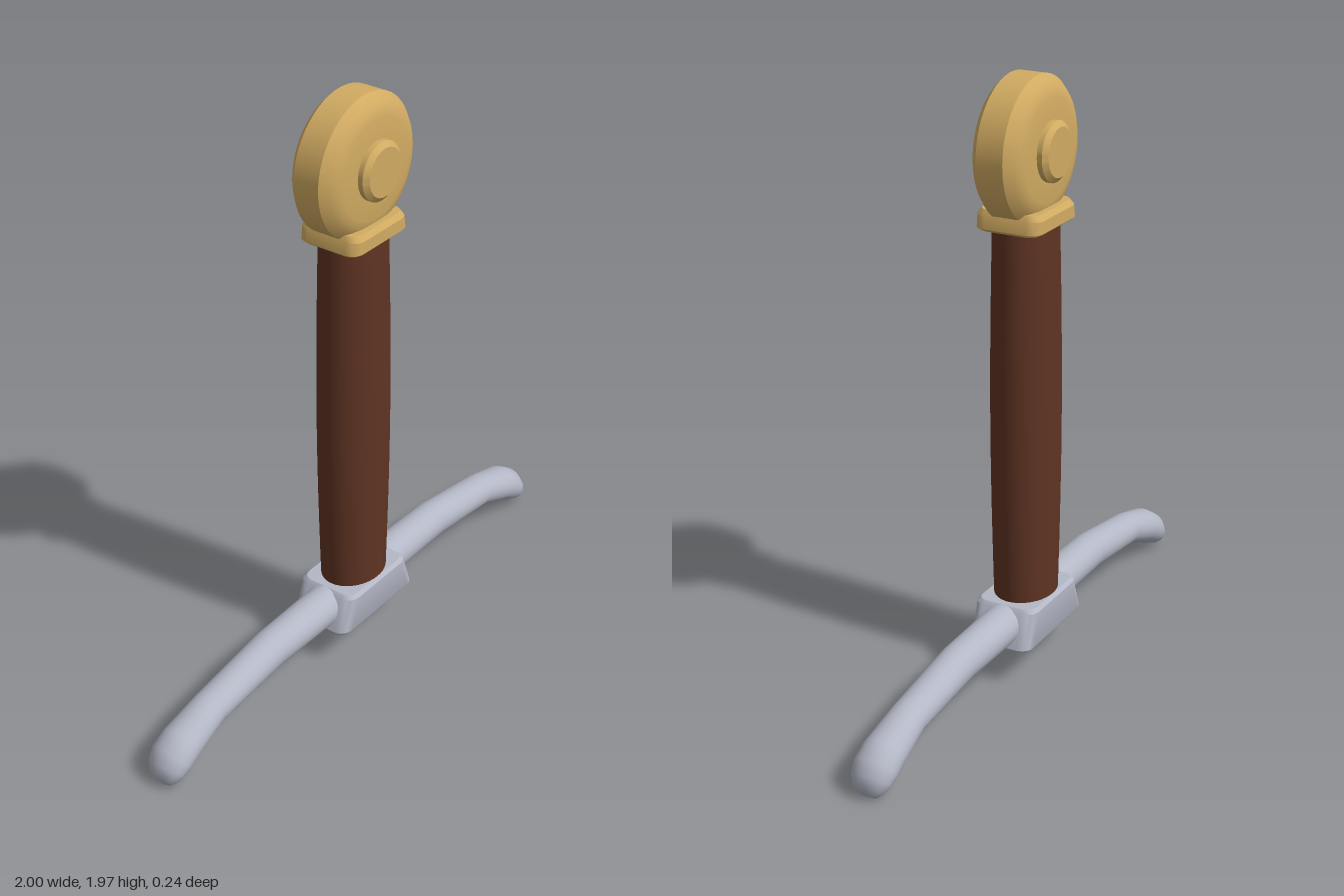
import * as THREE from 'three';
import { toCreasedNormals } from 'three/addons/utils/BufferGeometryUtils.js';

const gold = new THREE.MeshStandardMaterial({ name: 'gold', color: 0xd1ab62 });
const leather = new THREE.MeshStandardMaterial({ name: 'leather', color: 0x5f3423 });
const steel = new THREE.MeshStandardMaterial({ name: 'steel', color: 0xb4b8c6 });

// Skin a list of equal-sized closed rings and cap both ends.
function loft(rings, crease) {
  const n = rings[0].length, pos = [], idx = [];
  rings.forEach(r => r.forEach(p => pos.push(p.x, p.y, p.z)));
  for (let i = 0; i < rings.length - 1; i++) {
    for (let j = 0; j < n; j++) {
      const k = (j + 1) % n, a = i * n + j, b = i * n + k;
      idx.push(a, b, a + n, b, b + n, a + n);
    }
  }
  const last = (rings.length - 1) * n;
  [[0, rings[0]], [last, rings[rings.length - 1]]].forEach(([base, ring], end) => {
    const c = ring.reduce((s, p) => s.add(p), new THREE.Vector3()).divideScalar(n);
    const ci = pos.length / 3;
    pos.push(c.x, c.y, c.z);
    for (let j = 0; j < n; j++) {
      const k = (j + 1) % n;
      if (end) idx.push(ci, base + j, base + k);
      else idx.push(ci, base + k, base + j);
    }
  });
  const g = new THREE.BufferGeometry();
  g.setAttribute('position', new THREE.Float32BufferAttribute(pos, 3));
  g.setIndex(idx);
  return toCreasedNormals(g, crease);
}

// Horizontal rounded rectangle with half sizes hx, hz and corner radius r.
function roundedRing([y, hx, hz, r]) {
  const pts = [], steps = 5;
  for (let q = 0; q < 4; q++) {
    const sx = q === 0 || q === 3 ? 1 : -1, sv = q < 2 ? 1 : -1;
    for (let s = 0; s <= steps; s++) {
      const t = (q + s / steps) * Math.PI / 2;
      pts.push(new THREE.Vector3(sx * (hx - r) + r * Math.cos(t), y, -sv * (hz - r) - r * Math.sin(t)));
    }
  }
  return pts;
}

// Ellipse spanned by two axes around a centre.
function ellipseRing(center, u, v, n) {
  return Array.from({ length: n }, (_, j) => {
    const t = j / n * Math.PI * 2;
    return center.clone().addScaledVector(u, Math.cos(t)).addScaledVector(v, Math.sin(t));
  });
}

export function createModel() {
  const model = new THREE.Group();
  model.name = 'swordHilt';
  const add = (name, geometry, material) => {
    const mesh = new THREE.Mesh(geometry, material);
    mesh.name = name;
    model.add(mesh);
    return mesh;
  };

  // Wheel pommel with a boss on both faces: radius and depth of the half profile
  const half = [[0.23, 0.045], [0.207, 0.068], [0.185, 0.08], [0.16, 0.085], [0.095, 0.087],
    [0.095, 0.104], [0.078, 0.118], [0, 0.118]];
  const profile = [...half.map(([r, z]) => new THREE.Vector2(r, -z)).reverse(),
    ...half.map(([r, z]) => new THREE.Vector2(r, z))];
  const wheel = new THREE.LatheGeometry(profile, 64).rotateX(Math.PI / 2);
  add('pommel', toCreasedNormals(wheel, 0.6), gold).position.y = 1.743;

  // Collar under the pommel
  add('collar', loft([
    [1.503, 0.13, 0.1, 0.035], [1.512, 0.14, 0.112, 0.04],
    [1.552, 0.134, 0.112, 0.04], [1.57, 0.124, 0.1, 0.035],
  ].map(roundedRing), 0.5), gold);

  // Oval grip, slightly swollen at the middle
  const grip = [];
  for (let i = 0; i <= 12; i++) {
    const t = i / 12, swell = Math.sin(Math.PI * t);
    grip.push(ellipseRing(new THREE.Vector3(0, 0.24 + 1.27 * t, 0),
      new THREE.Vector3(0.123 + 0.012 * swell, 0, 0),
      new THREE.Vector3(0, 0, -0.099 - 0.008 * swell), 40));
  }
  add('grip', loft(grip, 0.6), leather);

  // Tapered guard block
  add('guardBlock', loft([
    [0.124, 0.195, 0.105, 0.035], [0.132, 0.199, 0.11, 0.04],
    [0.245, 0.16, 0.11, 0.04], [0.257, 0.148, 0.1, 0.035],
  ].map(roundedRing), 0.6), steel);
  add('bladeSeat', new THREE.BoxGeometry(0.09, 0.02, 0.06), steel).position.y = 0.129;

  // Curved guard arms: x, y, tilt of the section, radius in the curve plane, radius in z
  const stations = [
    [0, 0.193, 0, 0.064, 0.07], [0.22, 0.193, 0, 0.064, 0.067], [0.45, 0.191, 0.07, 0.063, 0.063],
    [0.75, 0.152, 0.22, 0.055, 0.06], [0.885, 0.107, 0.42, 0.062, 0.07], [0.932, 0.08, 0.62, 0.06, 0.072],
    [0.957, 0.055, 0.85, 0.049, 0.066], [0.972, 0.032, 1.05, 0.034, 0.052], [0.974, 0.01, 1.2, 0.014, 0.03],
  ];
  const arm = loft(stations.map(([x, y, tilt, r, rz]) => ellipseRing(
    new THREE.Vector3(x, y, 0),
    new THREE.Vector3(Math.sin(tilt) * r, Math.cos(tilt) * r, 0),
    new THREE.Vector3(0, 0, rz), 28)), 1.0);
  add('leftGuardArm', arm, steel);
  add('rightGuardArm', arm, steel).rotation.y = Math.PI;

  return model;
}
